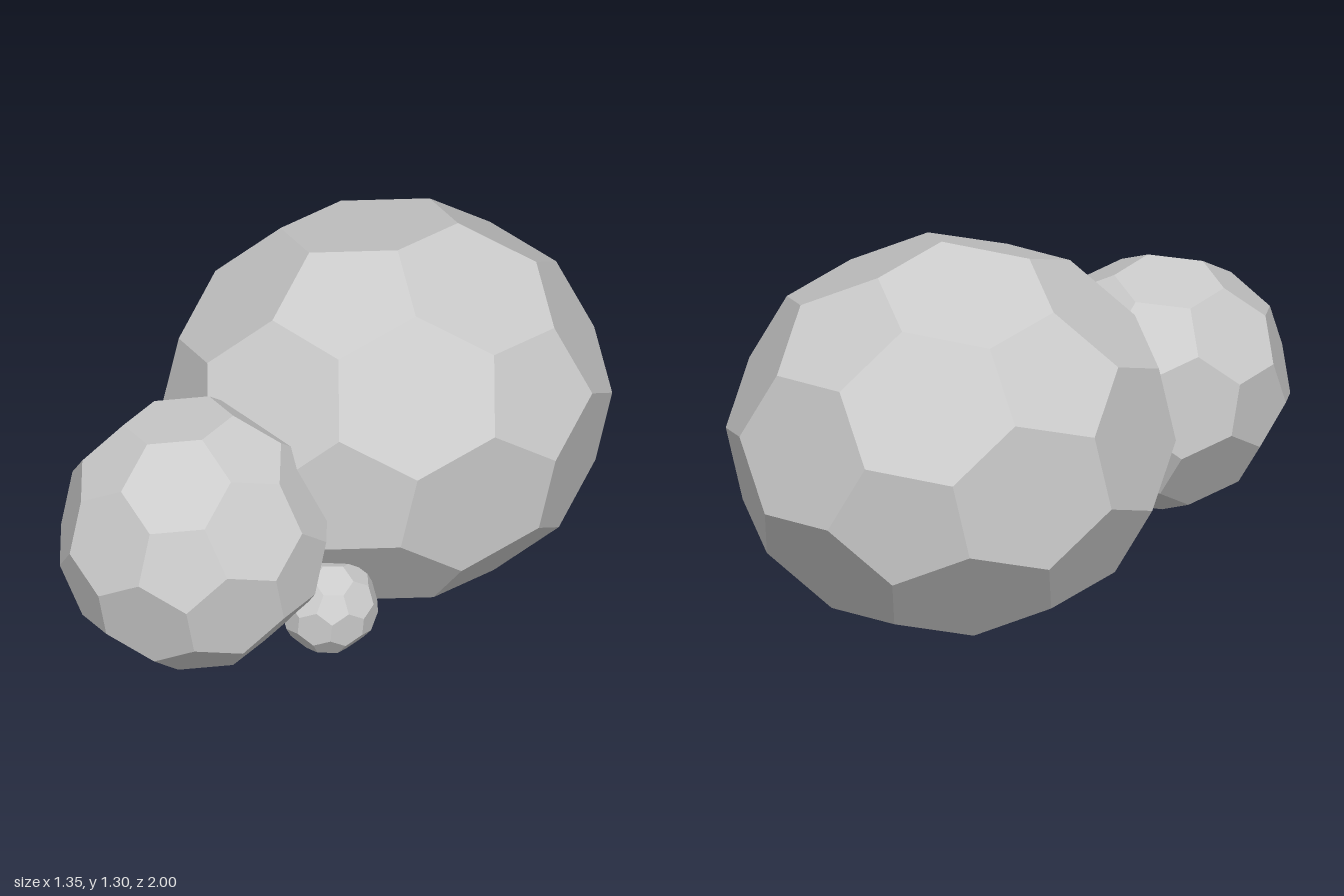
import * as THREE from 'three';
import { ConvexGeometry } from 'three/addons/geometries/ConvexGeometry.js';

// Truncated icosahedron, made oval by a factor along one axis.
// "pent" is the direction of one pentagon's centre and "corner" the
// approximate direction of one of that pentagon's corners.
function facetedBall({ name, radius, centre, pent, corner, axis, factor }) {
  const p = new THREE.Vector3(...pent).normalize();
  const u = new THREE.Vector3(...corner);
  u.addScaledVector(p, -u.dot(p)).normalize();
  const w = p.clone().cross(u);
  const along = new THREE.Vector3(...axis).normalize();

  // Twelve icosahedron corners: one pole, a ring of five, and their opposites
  const ico = [p.clone()];
  for (let k = 0; k < 5; k++) {
    const a = (k * Math.PI * 2) / 5;
    ico.push(p.clone().multiplyScalar(1 / Math.sqrt(5))
      .addScaledVector(u, (2 / Math.sqrt(5)) * Math.cos(a))
      .addScaledVector(w, (2 / Math.sqrt(5)) * Math.sin(a)));
  }
  ico.push(...ico.map((v) => v.clone().negate()));

  // Cut every edge at a third of its length, then make the ball oval
  const points = [];
  for (const a of ico) {
    for (const b of ico) {
      if (a !== b && a.dot(b) > 0.4) {
        const v = a.clone().lerp(b, 1 / 3).setLength(radius);
        points.push(v.addScaledVector(along, (factor - 1) * v.dot(along)));
      }
    }
  }

  const mesh = new THREE.Mesh(
    new ConvexGeometry(points),
    new THREE.MeshStandardMaterial({ color: 0xcccccc, flatShading: true })
  );
  mesh.name = name;
  mesh.position.set(...centre);
  return mesh;
}

export function createModel() {
  const group = new THREE.Group();
  group.name = 'facetedBoulders';
  group.add(
    facetedBall({
      name: 'largeBoulder', radius: 0.656, centre: [0, 0.655, -0.312],
      pent: [0.897, 0.42, -0.136], corner: [0.991, 0.094, -0.094],
      axis: [0.56, 0, -0.83], factor: 1.11,
    }),
    facetedBall({
      name: 'mediumBoulder', radius: 0.447, centre: [0, 0.568, 0.56],
      pent: [-0.243, -0.212, 0.957], corner: [0.05, -0.035, 1],
      axis: [0.8, 0.45, 0.38], factor: 0.897,
    }),
    facetedBall({
      name: 'smallBoulder', radius: 0.157, centre: [0.287, 0.261, 0.23],
      pent: [0.95, -0.07, -0.3], corner: [0.985, 0.17, 0],
      axis: [0, 0, 1], factor: 1.04,
    })
  );
  return group;
}
